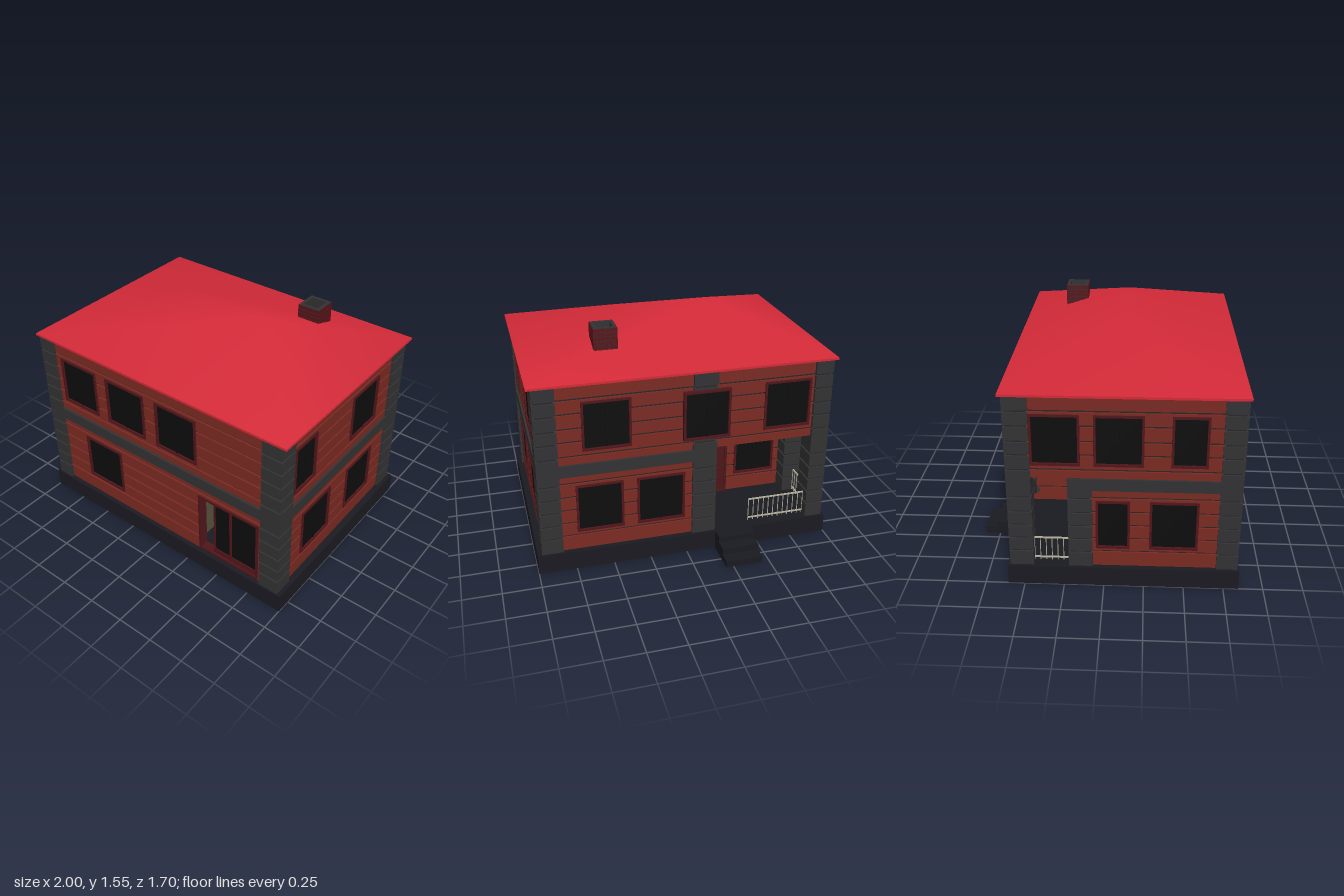
import * as THREE from 'three';

const mat = (color, side = THREE.FrontSide) => new THREE.MeshStandardMaterial({ color, side });
const RED = mat(0x7a2a22), GREY = mat(0x323234), DARK = mat(0x262628), BASE = mat(0x1a1a21);
const FRAME = mat(0x50151a), GLASS = mat(0x0d0d0d), ROOF = mat(0xd42a38, THREE.DoubleSide);
const OLIVE = mat(0x55533a), RAIL = mat(0xb5b09c), BRICK = mat(0x561318), DOOR = mat(0x4a1814);

// heights of the horizontal joints between boards and corner blocks
const JOINTS = [0.235, 0.33, 0.425, 0.52, 0.62, 0.81, 0.91, 1.0, 1.1, 1.195];
const GAP = 0.014, FLOOR = 0.13, BAND0 = 0.675, BAND1 = 0.755, EAVE = 1.3;

// box given by its limits
function box(parent, name, material, x0, x1, y0, y1, z0, z1) {
  const m = new THREE.Mesh(new THREE.BoxGeometry(x1 - x0, y1 - y0, z1 - z0), material);
  m.position.set((x0 + x1) / 2, (y0 + y1) / 2, (z0 + z1) / 2);
  m.name = name;
  parent.add(m);
  return m;
}

function group(parent, name) {
  const g = new THREE.Group();
  g.name = name;
  parent.add(g);
  return g;
}

// courses between two heights, split at the joints
function courses(y0, y1) {
  const ys = [y0, ...JOINTS.filter(y => y > y0 && y < y1), y1];
  return ys.slice(1).map((y, i) => [ys[i] + (i ? GAP / 2 : 0), y - (i < ys.length - 2 ? GAP / 2 : 0)]);
}

// rectangle minus openings [u0, u1, y0, y1], as smaller rectangles
function cut(u0, u1, y0, y1, holes) {
  const ys = [y0, y1, ...holes.flatMap(h => [h[2], h[3]]).filter(y => y > y0 && y < y1)].sort((a, b) => a - b);
  const out = [];
  for (let i = 0; i + 1 < ys.length; i++) {
    const mid = (ys[i] + ys[i + 1]) / 2;
    let u = u0;
    for (const h of holes.filter(h => mid > h[2] && mid < h[3]).sort((a, b) => a[0] - b[0])) {
      if (h[0] > u) out.push([u, h[0], ys[i], ys[i + 1]]);
      u = Math.max(u, h[1]);
    }
    if (u < u1) out.push([u, u1, ys[i], ys[i + 1]]);
  }
  return out.filter(r => r[3] - r[2] > 0.001);
}

// frame with four bars around an opening
function frame(parent, [a, b, c, d], z0, z1, t = 0.015) {
  box(parent, 'frameSide', FRAME, a, a + t, c, d, z0, z1);
  box(parent, 'frameSide', FRAME, b - t, b, c, d, z0, z1);
  box(parent, 'frameTop', FRAME, a + t, b - t, d - t, d, z0, z1);
  box(parent, 'frameSill', FRAME, a + t, b - t, c, c + t, z0, z1);
}

function windowUnit(parent, r, d) {
  const g = group(parent, 'window'), mid = (r[0] + r[1]) / 2;
  frame(g, r, d - 0.02, d + 0.008);
  box(g, 'glass', GLASS, r[0], r[1], r[2], r[3], d - 0.02, d - 0.005);
  box(g, 'mullion', GLASS, mid - 0.005, mid + 0.005, r[2] + 0.015, r[3] - 0.015, d - 0.005, d);
}

// boarded wall facing local +z at distance d, turned about y
function wall(parent, name, turn, d, u0, u1, y0, y1, windows = [], doorways = []) {
  const g = group(parent, name);
  g.rotation.y = turn;
  for (const r of cut(u0, u1, y0, y1, doorways)) box(g, 'wallCore', DARK, ...r, d - 0.05, d - 0.012);
  for (const [a, b] of courses(y0, y1))
    for (const r of cut(u0, u1, a, b, [...windows, ...doorways])) box(g, 'board', RED, ...r, d - 0.012, d);
  for (const w of windows) windowUnit(g, w, d);
  return g;
}

// pillar of stacked blocks with recessed joints
function pillar(parent, name, x0, x1, z0, z1, y1 = EAVE) {
  const g = group(parent, name), i = 0.012;
  box(g, 'pillarCore', DARK, x0 + i, x1 - i, FLOOR, y1, z0 + i, z1 - i);
  for (const [a, b] of courses(FLOOR, y1)) box(g, 'block', GREY, x0, x1, a, b, z0, z1);
}

// railing along x or z, from a to b
function railing(parent, name, a, b, turn, x, z) {
  const g = group(parent, name), n = Math.round((b - a) / 0.036);
  g.position.set(x, FLOOR, z);
  g.rotation.y = turn;
  for (const y of [0.02, 0.165]) box(g, 'rail', RAIL, a, b, y - 0.004, y + 0.004, -0.005, 0.005);
  for (let i = 0; i <= n; i++) {
    const p = new THREE.Mesh(new THREE.CylinderGeometry(0.003, 0.003, 0.165, 6), RAIL);
    p.position.set(a + (b - a) * i / n, 0.0825, 0);
    p.name = 'baluster';
    g.add(p);
  }
}

function addRoof(parent) {
  const g = group(parent, 'roof'), y = 1.31;
  box(g, 'eaves', ROOF, -1, 1, 1.295, y, -0.61, 0.845);
  const geo = new THREE.BufferGeometry();
  geo.setAttribute('position', new THREE.Float32BufferAttribute([
    -1, y, 0.845, 1, y, 0.845, 1, y, -0.61, -1, y, -0.61, -0.335, 1.55, 0.12, 0.335, 1.55, 0.12], 3));
  geo.setIndex([0, 1, 5, 0, 5, 4, 1, 2, 5, 2, 3, 4, 2, 4, 5, 3, 0, 4]);
  geo.computeVertexNormals();
  const m = new THREE.Mesh(geo, ROOF);
  m.name = 'hipRoof';
  g.add(m);
}

// hollow brick chimney
function addChimney(parent) {
  const g = group(parent, 'chimney'), h = 0.0775, t = 0.025, y0 = 1.38, y1 = 1.545, n = 6;
  g.position.set(0.4625, 0, -0.2525);
  box(g, 'flueFloor', BRICK, -h + t, h - t, y0, 1.46, -h + t, h - t);
  for (let s = 0; s < 4; s++) {
    const side = group(g, 'chimneySide');
    side.rotation.y = s * Math.PI / 2;
    box(side, 'mortar', GREY, -h + 0.004, h - 0.004, y0, y1, h - t, h - 0.004);
    for (let i = 0; i < n; i++) {
      const a = y0 + (y1 - y0) * i / n, b = a + (y1 - y0) / n - 0.004;
      const us = i % 2 ? [-h, -0.026, 0.026, h] : [-h, -0.052, 0, 0.052, h];
      for (let k = 0; k + 1 < us.length; k++)
        box(side, 'brick', BRICK, us[k] + (k ? 0.002 : 0), us[k + 1] - (k < us.length - 2 ? 0.002 : 0), a, b, h - 0.006, h);
    }
  }
}

export function createModel() {
  const house = new THREE.Group();
  house.name = 'house';
  const Q = Math.PI / 2, lo = [0.26, 0.6], up = [0.84, 1.175];

  // plinth and steps
  box(house, 'plinth', BASE, -1, 1, 0, FLOOR, -0.605, 0.845);
  [[-0.69, FLOOR], [-0.77, 0.09], [-0.85, 0.045]].forEach(([z, y], i) =>
    box(house, 'step', BASE, -0.45, -0.2, 0, y, z, -0.605 + i * -0.08));

  // outer walls
  const door = [0.34, 0.81, 0.14, 0.6];
  const front = wall(house, 'frontWall', 0, 0.815, -0.95, 0.94, FLOOR, BAND0, [[-0.655, -0.33, ...lo]], [door]);
  wall(house, 'frontUpperWall', 0, 0.815, -0.95, 0.94, BAND1, EAVE,
    [[-0.815, -0.5, ...up], [-0.41, -0.085, ...up], [0.01, 0.335, ...up]]);
  wall(house, 'leftWall', Q, 0.955, -0.8, 0.56, FLOOR, BAND0, [[-0.565, -0.24, ...lo], [-0.04, 0.28, ...lo]]);
  wall(house, 'leftUpperWall', Q, 0.955, -0.8, 0.56, BAND1, EAVE, [[-0.68, -0.45, ...up], [-0.04, 0.28, ...up]]);
  wall(house, 'backWall', 2 * Q, 0.57, -0.94, 0.2, FLOOR, BAND0, [[-0.73, -0.42, ...lo], [-0.33, -0.01, ...lo]]);
  wall(house, 'backUpperWall', 2 * Q, 0.57, -0.94, 0.95, BAND1, EAVE, [[-0.675, -0.36, ...up], [0.52, 0.84, ...up]]);
  wall(house, 'rightWall', -Q, 0.965, -0.1, 0.8, FLOOR, BAND0, [[-0.05, 0.16, ...lo], [0.28, 0.58, ...lo]]);
  wall(house, 'rightUpperWall', -Q, 0.965, -0.56, 0.8, BAND1, EAVE,
    [[-0.44, -0.14, ...up], [-0.06, 0.24, ...up], [0.4, 0.62, ...up]]);

  // porch walls, ceiling, door and window
  wall(house, 'porchSideWall', -Q, 0.2, -0.56, -0.1, FLOOR, BAND1);
  const porch = wall(house, 'porchBackWall', 2 * Q, 0.1, 0.2, 0.95, FLOOR, BAND1, [[0.5, 0.8, ...lo]]);
  box(house, 'porchCeiling', RED, -0.96, -0.2, 0.75, 0.77, -0.565, -0.1);
  const entry = group(porch, 'porchDoor');
  frame(entry, [0.22, 0.44, FLOOR, 0.56], 0.1, 0.115);
  box(entry, 'doorLeaf', DOOR, 0.235, 0.425, FLOOR, 0.545, 0.1, 0.107);
  for (const y of [0.18, 0.37])
    for (const u of [0.25, 0.34]) box(entry, 'doorPanel', FRAME, u, u + 0.07, y, y + 0.15, 0.107, 0.111);

  // sliding front door, left partly open
  const slider = group(front, 'slidingDoor');
  frame(slider, door, 0.76, 0.823);
  box(slider, 'doorGlass', GLASS, 0.45, 0.795, 0.155, 0.585, 0.785, 0.797);
  frame(slider, [0.45, 0.59, 0.155, 0.585], 0.78, 0.803, 0.012);
  frame(slider, [0.58, 0.795, 0.155, 0.585], 0.79, 0.81, 0.012);
  box(slider, 'doorKickboard', FRAME, 0.45, 0.795, 0.155, 0.185, 0.79, 0.806);

  // room behind the front door
  const room = group(house, 'interior');
  box(room, 'roomBackWall', OLIVE, 0.26, 0.92, FLOOR, BAND0, 0.3, 0.33);
  box(room, 'roomSideWall', OLIVE, 0.26, 0.29, FLOOR, BAND0, 0.33, 0.765);
  box(room, 'roomEndWall', OLIVE, 0.88, 0.905, FLOOR, BAND0, 0.33, 0.765);
  box(room, 'roomCeiling', OLIVE, 0.26, 0.92, 0.66, 0.68, 0.3, 0.765);

  // pillars at the corners and around the porch
  pillar(house, 'cornerPillar', -0.98, -0.86, 0.7, 0.835);
  pillar(house, 'cornerPillar', 0.83, 0.972, 0.7, 0.835);
  pillar(house, 'cornerPillar', 0.83, 0.972, -0.59, -0.44);
  pillar(house, 'porchCornerPillar', -0.98, -0.86, -0.59, -0.44);
  pillar(house, 'backPillar', -0.2, -0.04, -0.59, -0.5);
  pillar(house, 'porchSidePillar', -0.98, -0.84, -0.22, -0.07, BAND1);

  // window set over the back pillar
  const over = group(house, 'backMiddleWindow');
  over.rotation.y = 2 * Q;
  windowUnit(over, [-0.03, 0.28, ...up], 0.6);

  // band between the storeys
  box(house, 'frontBand', GREY, -0.9, 0.9, BAND0, BAND1, 0.77, 0.832);
  box(house, 'leftBand', GREY, 0.91, 0.969, BAND0, BAND1, -0.5, 0.75);
  box(house, 'backBand', GREY, -0.1, 0.9, BAND0, BAND1, -0.587, -0.53);
  box(house, 'rightBand', GREY, -0.977, -0.92, BAND0, BAND1, -0.1, 0.75);

  railing(house, 'backRailing', -0.86, -0.46, 0, 0, -0.53);
  railing(house, 'sideRailing', -0.44, -0.22, -Q, -0.92, 0);
  addRoof(house);
  addChimney(house);
  return house;
}
